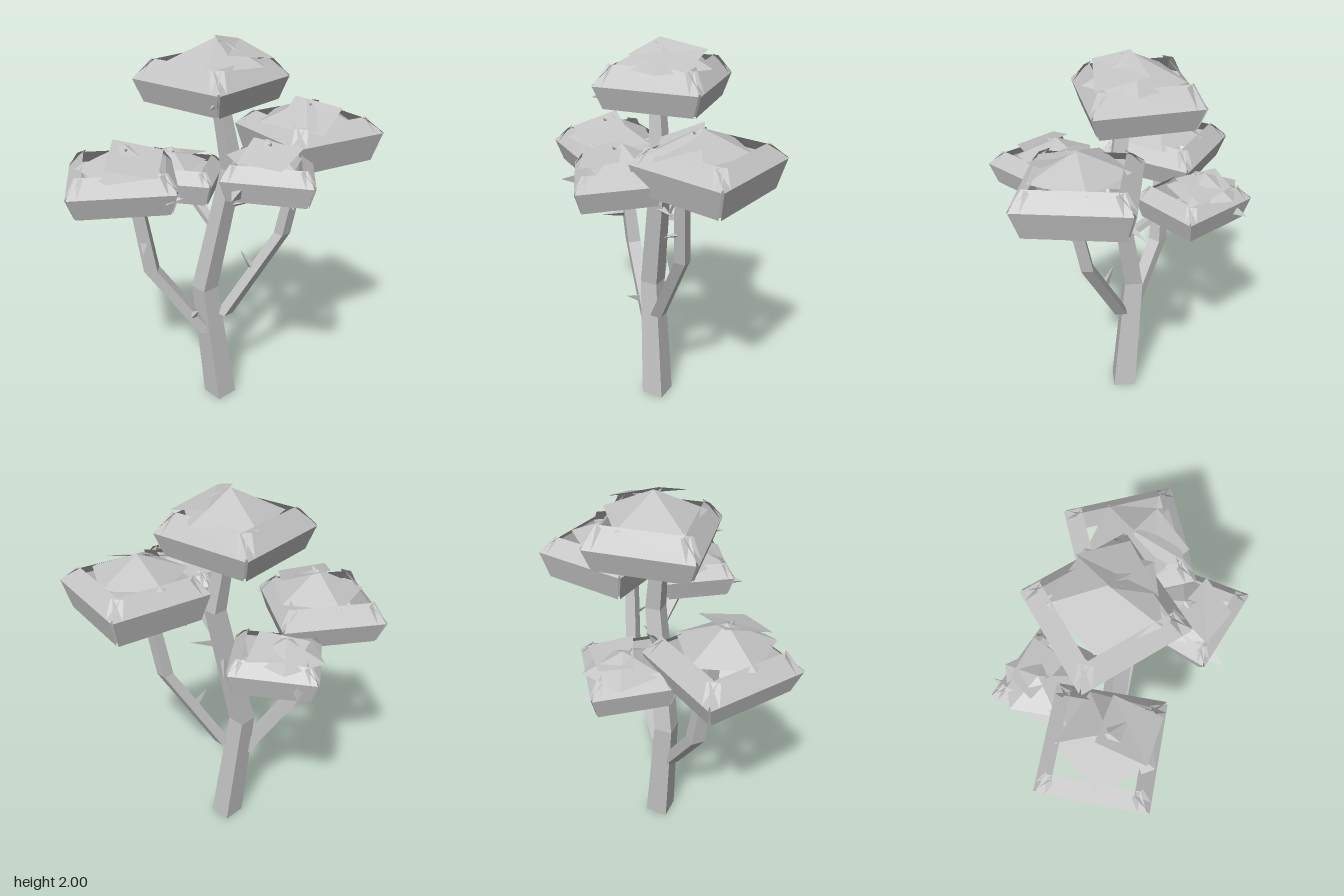
import * as THREE from 'three';

const bark = new THREE.MeshStandardMaterial({ color: 0xc4c4c4 });
bark.name = 'plainGrey';
bark.flatShading = true;
bark.side = THREE.DoubleSide;

function mesh(name, geometry) {
  const m = new THREE.Mesh(geometry, bark);
  m.name = name;
  return m;
}

// Surface through rows of points; closed joins each row's end to its start
function loft(rows, closed = false) {
  const n = rows[0].length;
  const index = [];
  for (let r = 0; r < rows.length - 1; r++) {
    for (let i = 0; i < (closed ? n : n - 1); i++) {
      const j = (i + 1) % n;
      const a = r * n + i, b = r * n + j, c = a + n, d = b + n;
      index.push(a, c, b, b, c, d);
    }
  }
  if (closed) {
    const t = (rows.length - 1) * n;
    for (let i = 1; i < n - 1; i++) index.push(0, i, i + 1, t, t + i + 1, t + i);
  }
  const g = new THREE.BufferGeometry();
  g.setAttribute('position', new THREE.Float32BufferAttribute(rows.flat(2), 3));
  g.setIndex(index);
  const flat = g.toNonIndexed();
  flat.computeVertexNormals();
  return flat;
}

// Four-sided limb, each stop is [x, y, z, radius]; twist turns the section
function limb(name, stops, twist = 0) {
  const rows = stops.map(([x, y, z, r]) => [0, 1, 2, 3].map(i => {
    const a = twist - i * Math.PI / 2;
    return [x + r * Math.cos(a), y, z + r * Math.sin(a)];
  }));
  return mesh(name, loft(rows, true));
}

// Thin three-sided spike from a base point towards a tip
function spike(name, base, tip, radius) {
  const a = new THREE.Vector3(...base), b = new THREE.Vector3(...tip);
  const dir = b.clone().sub(a);
  const m = mesh(name, new THREE.ConeGeometry(radius, dir.length(), 3));
  m.position.copy(a).add(b).multiplyScalar(0.5);
  m.quaternion.setFromUnitVectors(new THREE.Vector3(0, 1, 0), dir.normalize());
  return m;
}

const mix = (a, b, t) => a.map((v, i) => v + (b[i] - v) * t);

// Canopy: folded square ring, short corner strips, cap, underside and a loose leaf
function canopy({ name, corners, y, cap, capRadius, leaf }) {
  const group = new THREE.Group();
  group.name = name;
  const centre = [0, 1].map(k => corners.reduce((s, c) => s + c[k], 0) / 4);
  // height, distance scale from the centre, length scale along the side
  const levels = [[y[0], 0.87, 0.87], [y[1], 1, 1], [y[2], 0.7, 0.82]];

  corners.forEach((c, i) => {
    const next = corners[(i + 1) % 4], prev = corners[(i + 3) % 4];
    const middle = mix(c, next, 0.5);
    const side = levels.map(([h, out, along]) => [0.01, 0.98].map(t => {
      const end = mix(c, next, t), m = mix(centre, middle, out);
      return [m[0] + (end[0] - middle[0]) * along, h, m[1] + (end[1] - middle[1]) * along];
    }));
    group.add(mesh('ringLeaf', loft(side)));
    const strip = levels.map(([h, , s]) => [prev, next].map(other => {
      const p = mix(centre, mix(c, other, 0.1), s);
      return [p[0], h, p[1]];
    }));
    group.add(mesh('cornerLeaf', loft(strip)));
  });

  const [ax, ay, az] = cap;
  const h = ay - y[2] + 0.015;
  const top = mesh('capLeaves', new THREE.ConeGeometry(capRadius, h, 5, 1, true));
  top.position.set(ax, ay - h / 2, az);
  top.rotation.y = centre[0] * 3;
  const under = mesh('undersideLeaves', new THREE.ConeGeometry(capRadius * 0.75, 0.12, 4, 1, true));
  under.position.set(ax, y[0] + 0.01, az);
  under.rotation.x = Math.PI;
  group.add(top, under);
  group.add(mesh('looseLeaf', loft([[leaf[0], leaf[1]], [leaf[3], leaf[2]]])));
  group.add(spike('capThorn', [ax, ay - 0.05, az], [ax + 0.02, ay - 0.005, az + 0.05], 0.03));
  return group;
}

export function createModel() {
  const tree = new THREE.Group();
  tree.name = 'tree';

  // Trunk and branches
  tree.add(
    limb('trunk', [[-0.015, 0.005, 0.025, 0.087], [-0.095, 0.69, 0.025, 0.068],
      [0.045, 1.36, 0.02, 0.056], [-0.02, 1.74, 0.02, 0.042]]),
    limb('leftBranch', [[-0.085, 0.43, 0.05, 0.05], [-0.37, 0.81, 0.065, 0.05],
      [-0.44, 1.3, 0.1, 0.042]], Math.PI / 4),
    limb('rightBranch', [[0.01, 0.53, 0.025, 0.045], [0.305, 1.0, -0.01, 0.042],
      [0.39, 1.45, 0.02, 0.038]]),
    limb('backBranch', [[-0.03, 1.02, 0.01, 0.035], [-0.15, 1.14, -0.1, 0.034],
      [-0.28, 1.26, -0.25, 0.025]]),
    limb('frontBranch', [[0.04, 1.22, 0.03, 0.035], [0.13, 1.32, 0.15, 0.034],
      [0.22, 1.44, 0.28, 0.025]]));

  // Canopies: ring corners as [x, z], heights as [bottom, fold, top]
  const canopies = [
    {
      name: 'topCanopy', corners: [[-0.43, 0.02], [0.0, 0.34], [0.32, -0.08], [-0.1, -0.39]],
      y: [1.69, 1.8, 1.89], cap: [-0.03, 1.99, -0.02], capRadius: 0.25,
      leaf: [[-0.04, 2.0, 0.0], [0.03, 1.94, 0.17], [0.24, 1.89, -0.03], [0.07, 1.95, -0.2]],
    },
    {
      name: 'leftCanopy', corners: [[-0.79, -0.08], [-0.69, 0.43], [-0.18, 0.33], [-0.28, -0.18]],
      y: [1.23, 1.34, 1.42], cap: [-0.46, 1.52, 0.15], capRadius: 0.24,
      leaf: [[-0.52, 1.53, 0.11], [-0.52, 1.46, 0.35], [-0.28, 1.42, 0.34], [-0.28, 1.48, 0.1]],
    },
    {
      name: 'rightCanopy', corners: [[0.05, -0.16], [0.35, 0.26], [0.78, -0.02], [0.47, -0.45]],
      y: [1.4, 1.54, 1.61], cap: [0.4, 1.69, -0.06], capRadius: 0.24,
      leaf: [[0.35, 1.7, -0.09], [0.26, 1.62, 0.08], [0.47, 1.58, 0.18], [0.57, 1.66, -0.02]],
    },
    {
      name: 'frontCanopy', corners: [[0.07, 0.08], [0.0, 0.43], [0.42, 0.51], [0.43, 0.11]],
      y: [1.35, 1.45, 1.51], cap: [0.21, 1.59, 0.25], capRadius: 0.19,
      leaf: [[0.15, 1.59, 0.23], [0.08, 1.53, 0.4], [0.27, 1.51, 0.46], [0.37, 1.56, 0.3]],
    },
    {
      name: 'backCanopy', corners: [[-0.48, -0.08], [-0.06, -0.01], [-0.01, -0.39], [-0.43, -0.47]],
      y: [1.13, 1.24, 1.3], cap: [-0.29, 1.37, -0.27], capRadius: 0.19,
      leaf: [[-0.33, 1.32, -0.4], [-0.4, 1.35, -0.26], [-0.17, 1.36, -0.18], [-0.1, 1.31, -0.38]],
    },
  ];
  canopies.forEach(c => tree.add(canopy(c)));

  // Thorns on the limbs: base, tip
  [
    [[-0.4, 0.97, 0.1], [-0.38, 0.98, 0.24]],
    [[-0.14, 0.56, 0.09], [-0.16, 0.57, 0.16]],
    [[0.15, 0.81, 0.01], [0.09, 0.9, 0.0]],
    [[0.33, 1.16, 0.0], [0.36, 1.17, 0.1]],
    [[0.05, 1.17, 0.02], [0.17, 1.18, 0.0]],
    [[0.0, 1.1, -0.04], [0.0, 1.05, -0.14]],
  ].forEach(([a, b]) => tree.add(spike('thorn', a, b, 0.022)));

  // Pointed leaves at the canopy corners
  [
    [[-0.34, 1.2, -0.41], [-0.33, 1.19, -0.51]],
    [[-0.24, 1.3, 0.3], [-0.17, 1.32, 0.32]],
    [[0.09, 1.4, 0.42], [0.06, 1.39, 0.51]],
    [[0.0, 1.76, 0.24], [-0.04, 1.74, 0.33]],
    [[0.16, 1.3, 0.08], [0.2, 1.24, 0.06]],
  ].forEach(([a, b]) => tree.add(spike('pointedLeaf', a, b, 0.035)));

  return tree;
}
